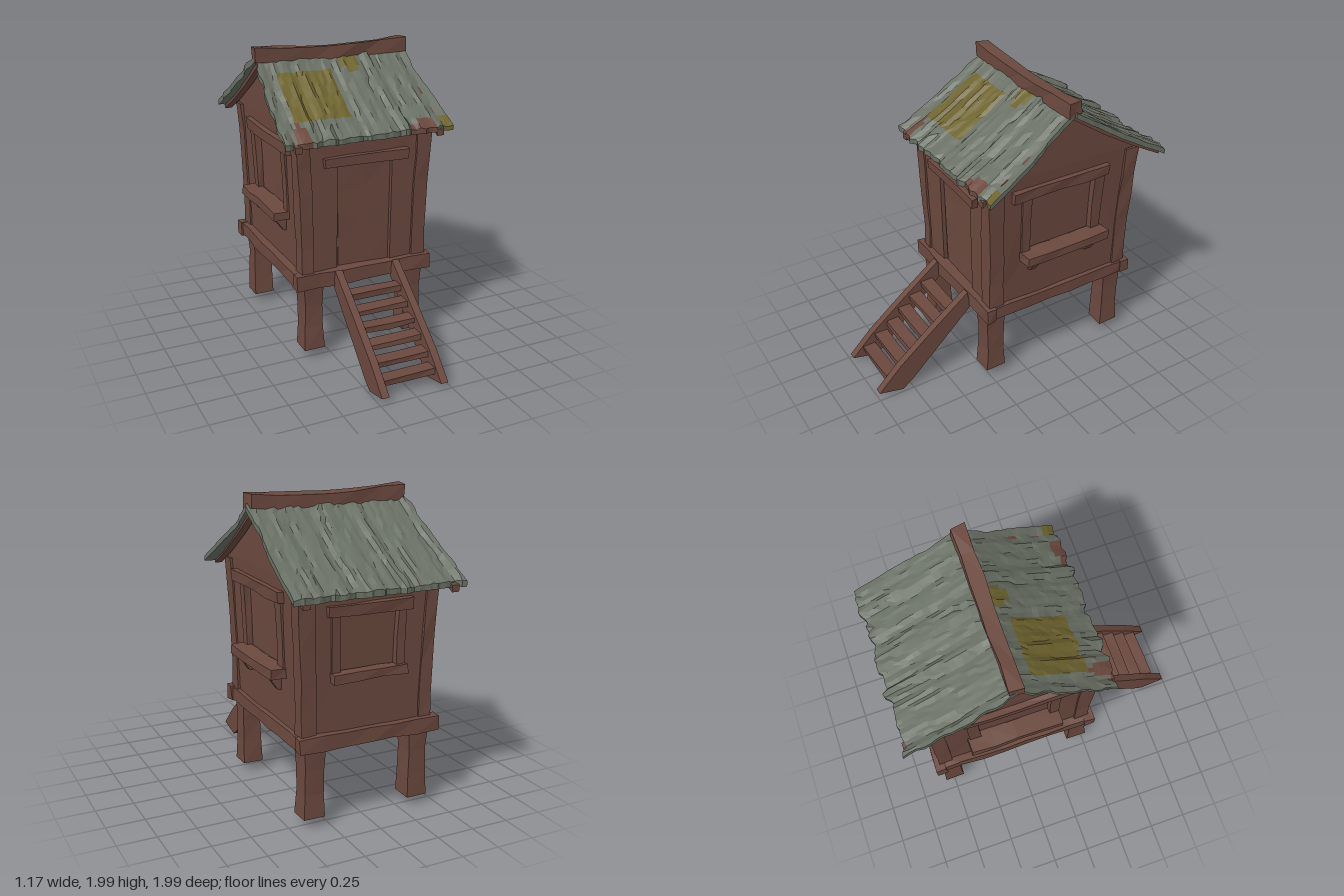
import * as THREE from 'three';

const makeMaterial = (name, color) => {
  const m = new THREE.MeshStandardMaterial({ color });
  m.name = name;
  return m;
};

// repeatable noise in -0.5..0.5
const noise = (a, b, c) => {
  const s = Math.sin(a * 127.1 + b * 311.7 + c * 74.7) * 43758.5453;
  return s - Math.floor(s) - 0.5;
};

// the house widens towards the eaves
const MID_Z = -0.275;
const flare = (v) => {
  const t = THREE.MathUtils.clamp((v.y - 0.6) / 0.9, 0, 1) ** 2;
  v.x *= 1 + 0.07 * t;
  v.z = MID_Z + (v.z - MID_Z) * (1 + 0.04 * t);
};

// moves vertices by a rule, adds hand-hewn roughness and gives faceted normals
function finish(geometry, warp, rough) {
  const geo = geometry.index ? geometry.toNonIndexed() : geometry;
  const p = geo.attributes.position;
  const v = new THREE.Vector3();
  for (let i = 0; i < p.count; i++) {
    v.fromBufferAttribute(p, i);
    const [a, b, c] = [v.x, v.y, v.z].map((n) => Math.round(n * 1000 + 0.13));
    if (warp) warp(v);
    v.x += noise(a, b, c) * rough;
    v.y += noise(b, c, a + 5) * rough;
    v.z += noise(c, a, b + 9) * rough;
    p.setXYZ(i, v.x, v.y, v.z);
  }
  geo.computeVertexNormals();
  return geo;
}

export function createModel() {
  const wood = makeMaterial('brown wood', 0x6b493e);
  const slate = makeMaterial('grey green roof', 0x697064);
  const moss = makeMaterial('moss', 0x6e642f);
  const model = new THREE.Group();
  model.name = 'stiltHut';

  const add = (name, geo, material = wood) => {
    const mesh = new THREE.Mesh(geo, material);
    mesh.name = name;
    model.add(mesh);
    return mesh;
  };

  // rough timber given by its extents
  const beam = (name, [x0, x1], [y0, y1], [z0, z1], warp, rough = 0.012) => {
    const size = [x1 - x0, y1 - y0, z1 - z0];
    const seg = size.map((s) => Math.max(1, Math.round(s / 0.17)));
    const geo = new THREE.BoxGeometry(...size, ...seg);
    geo.translate((x0 + x1) / 2, (y0 + y1) / 2, (z0 + z1) / 2);
    return add(name, finish(geo, warp, rough));
  };

  const toShape = (points, hole) => {
    const shape = new THREE.Shape(points.map((p) => new THREE.Vector2(...p)));
    if (hole) shape.holes.push(new THREE.Path(hole.map((p) => new THREE.Vector2(...p))));
    return shape;
  };
  const rect = (a0, a1, b0, b1) => [[a0, b0], [a1, b0], [a1, b1], [a0, b1]];

  // outline in x,y pushed along z
  const frontPlate = (name, points, hole, z0, z1) => {
    const geo = new THREE.ExtrudeGeometry(toShape(points, hole), { depth: z1 - z0, bevelEnabled: false });
    geo.translate(0, 0, z0);
    return add(name, finish(geo, flare, 0));
  };
  // outline in z,y pushed along x
  const sidePlate = (name, points, hole, x0, x1, warp) => {
    const geo = new THREE.ExtrudeGeometry(toShape(points, hole), { depth: x1 - x0, bevelEnabled: false });
    geo.rotateY(-Math.PI / 2);
    geo.translate(x1, 0, 0);
    return add(name, finish(geo, warp, 0));
  };

  // legs, a little wider at the foot
  for (const x of [-0.37, 0.355]) {
    for (const z of [0.205, -0.745]) {
      beam('leg', [x - 0.065, x + 0.065], [0.07, 0.54], [z - 0.065, z + 0.065], (v) => {
        const k = 1 + 0.08 * Math.cos((v.y - 0.07) * 13);
        v.x = x + (v.x - x) * k;
        v.z = z + (v.z - z) * k;
      }, 0.008);
    }
  }

  // floor with a rim of beams
  beam('floor', [-0.45, 0.43], [0.545, 0.6], [-0.81, 0.26], null, 0.008);
  for (const [z0, z1] of [[0.23, 0.3], [-0.85, -0.78]]) beam('rimBeam', [-0.495, 0.47], [0.515, 0.612], [z0, z1]);
  for (const [x0, x1] of [[-0.485, -0.42], [0.4, 0.462]]) beam('rimBeam', [x0, x1], [0.52, 0.606], [-0.83, 0.28]);

  // inner core, seen as recessed door and window panels
  const gable = (z0, z1, eave, peak) => [[z0, 0.58], [z1, 0.58], [z1, eave], [MID_Z, peak], [z0, eave]];
  sidePlate('innerPanels', gable(-0.77, 0.22, 1.5, 1.82), null, -0.4, 0.4, flare);

  // outer walls with openings
  for (const [x0, x1] of [[-0.43, -0.38], [0.38, 0.43]]) {
    sidePlate('sideWall', gable(-0.8, 0.25, 1.53, 1.87), rect(-0.52, -0.02, 0.97, 1.39), x0, x1, flare);
  }
  frontPlate('frontWall', [[-0.43, 0.58], [-0.195, 0.58], [-0.185, 1.32], [0.185, 1.32], [0.19, 0.58],
    [0.43, 0.58], [0.43, 1.53], [-0.43, 1.53]], null, 0.2, 0.25);
  frontPlate('backWall', rect(-0.43, 0.43, 0.58, 1.53), rect(-0.2, 0.2, 0.98, 1.34), -0.8, -0.75);

  // corner posts
  for (const [x0, x1] of [[-0.447, -0.365], [0.345, 0.445]]) {
    for (const [z0, z1] of [[0.165, 0.266], [-0.816, -0.72]]) {
      beam('cornerPost', [x0, x1], [0.59, 1.51], [z0, z1], flare, 0.01);
    }
  }

  // door
  beam('door', [-0.18, 0.18], [0.59, 1.32], [0.19, 0.23], flare, 0.006);
  beam('doorLintel', [-0.28, 0.28], [1.312, 1.378], [0.24, 0.285], flare);

  // side windows
  for (const s of [-1, 1]) {
    const span = (a, b) => (s > 0 ? [a, b] : [-b, -a]);
    beam('windowLintel', span(0.42, 0.465), [1.38, 1.455], [-0.59, 0.11], flare);
    beam('windowJamb', span(0.4, 0.446), [0.97, 1.39], [-0.03, 0.036], flare, 0.008);
    beam('windowJamb', span(0.4, 0.446), [0.97, 1.39], [-0.575, -0.5], flare, 0.008);
    beam('windowSill', span(0.42, 0.54), [0.912, 0.975], [-0.59, 0.04]);
    for (const z of [-0.05, -0.49]) {
      const [x0, x1] = span(0.43, 0.52);
      beam('sillBracket', [x0, x1], [0.82, 0.915], [z - 0.025, z + 0.025], (v) => {
        if (v.y < 0.83 && Math.abs(v.x) > 0.5) v.x = s * 0.455;
      }, 0.006);
    }
  }

  // back window
  beam('backLintel', [-0.27, 0.27], [1.325, 1.395], [-0.835, -0.79], flare);
  beam('backSill', [-0.25, 0.25], [0.925, 0.985], [-0.85, -0.79], flare);
  for (const x of [-0.215, 0.215]) beam('backJamb', [x - 0.027, x + 0.027], [0.97, 1.34], [-0.818, -0.77], flare, 0.008);

  // ladder
  const stringer = [[0.31, 0.62], [0.29, 0.5], [0.55, 0.25], [0.75, 0.06], [0.82, 0.01], [0.99, 0.05], [0.83, 0.21], [0.57, 0.42]];
  for (const x of [-0.235, 0.178]) sidePlate('ladderRail', stringer.slice().reverse(), null, x, x + 0.05, null);
  for (let i = 0; i < 6; i++) {
    const z = 0.4 + 0.093 * i, y = 0.475 - 0.075 * i;
    beam('ladderTread', [-0.2, 0.195], [y - 0.019, y + 0.019], [z - 0.045, z + 0.045], null, 0.01);
  }

  // roof height at distance v (0 ridge, 1 eave)
  const roofY = (v, drop) => 1.93 - drop * v - 0.018 * Math.sin(Math.PI * v);

  // coloured areas of the front slope: u0, u1, v0, v1, material index
  const patches = [
    [-0.39, -0.055, 0.2, 0.74, 1], [0.03, 0.16, 0, 0.2, 1], [0.05, 0.13, 0.2, 0.28, 1], [0.44, 0.5, 0.87, 1, 1],
    [-0.42, -0.35, 0.8, 1, 2], [-0.4, -0.365, 0.66, 0.8, 2], [0.25, 0.41, 0.92, 1, 2], [0.3, 0.4, 0.85, 0.92, 2],
  ];

  // shingled roof slopes
  const COLS = 40, ROWS = 16;
  for (const s of [1, -1]) {
    const geo = new THREE.BoxGeometry(1, 1, 1, COLS, 1, ROWS).toNonIndexed();
    const p = geo.attributes.position;
    geo.clearGroups();
    for (let i = 0; i < p.count; i += 6) {
      let u = 0, v = 0, top = true;
      for (let k = i; k < i + 6; k++) {
        u += p.getX(k) / 6;
        v += (0.5 + s * p.getZ(k)) / 6;
        top = top && p.getY(k) > 0;
      }
      const hit = s > 0 && (top || v > 0.99) && patches.find(([a, b, c, d]) => u > a && u < b && v > c && v < d + 0.001);
      const index = hit ? hit[4] : 0;
      const last = geo.groups[geo.groups.length - 1];
      if (last && last.materialIndex === index) last.count += 6;
      else geo.addGroup(i, 6, index);
    }
    const warp = (q) => {
      const col = Math.round((q.x + 0.5) * COLS), v = 0.5 + s * q.z, row = Math.round(v * ROWS);
      const top = q.y > 0;
      const edge = Math.abs(q.x) > 0.49;
      const half = s > 0 ? 0.53 + 0.05 * v : 0.545 + 0.015 * v;
      const plank = noise(Math.floor(col / 2), s, 3);
      const run = (s > 0 ? 0.63 : 0.7) + 0.05 * plank + 0.015 * noise(col, s, 8);
      const drop = s > 0 ? 0.415 : 0.435;
      const bump = 0.018 * plank + 0.014 * noise(col, row >> 1, s);
      q.x = q.x * 2 * half + (edge ? 0.025 * noise(row >> 1, col, 2) : 0.014 * noise(col, row >> 2, 4));
      q.z = -0.27 + s * v * run;
      q.y = roofY(v, drop) + (top ? bump : -0.035 + bump * 0.4);
    };
    add(s > 0 ? 'frontRoof' : 'backRoof', finish(geo, warp, 0), [slate, moss, wood]);

    // barge boards under the roof edges
    const reach = s > 0 ? 0.63 : 0.71, drop = s > 0 ? 0.415 : 0.435;
    const board = [];
    for (const v of [0, 0.35, 0.7, 1]) board.push([-0.27 + s * v * reach, roofY(v, drop) - 0.02]);
    for (const v of [1, 0.7, 0.35, 0]) board.push([-0.27 + s * v * reach, roofY(v, drop) - 0.062]);
    if (s > 0) board.reverse();
    for (const x of [-0.515, 0.465]) sidePlate('bargeBoard', board, null, x, x + 0.05, null);
  }

  // sagging ridge beam
  beam('ridgeBeam', [-0.535, 0.535], [1.875, 1.97], [-0.315, -0.225], (v) => {
    v.y += 0.09 * v.x * v.x;
  }, 0.018);

  return model;
}
